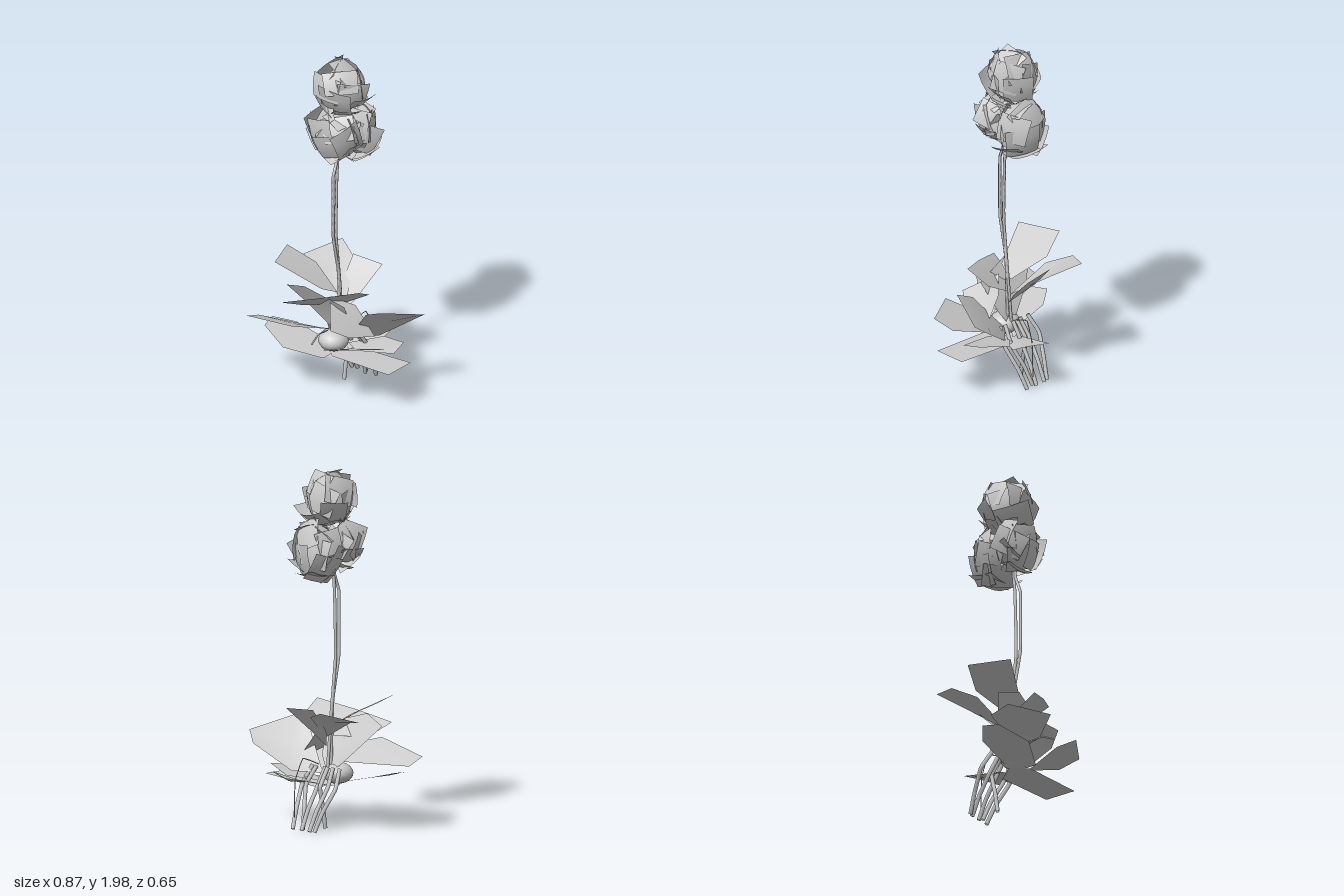
import * as THREE from 'three';

const solid = new THREE.MeshStandardMaterial({ color: 0xcccccc });
const thin = new THREE.MeshStandardMaterial({ color: 0xcccccc, side: THREE.DoubleSide });
const vec = (p) => new THREE.Vector3(...p);

// Small seeded generator for the petal scatter
function seeded(seed) {
  return () => {
    seed = (seed * 1664525 + 1013904223) % 4294967296;
    return seed / 4294967296;
  };
}

function add(parent, name, geometry, material) {
  const mesh = new THREE.Mesh(geometry, material);
  mesh.name = name;
  parent.add(mesh);
  return mesh;
}

// Leaf blade: a fan around the middle of its outline
function leaf(parent, ...outline) {
  const n = outline.length;
  const mid = [0, 1, 2].map((k) => outline.reduce((s, p) => s + p[k], 0) / n);
  const index = [];
  for (let i = 0; i < n; i++) index.push(0, i + 1, ((i + 1) % n) + 1);
  const g = new THREE.BufferGeometry();
  g.setAttribute('position', new THREE.Float32BufferAttribute([mid, ...outline].flat(), 3));
  g.setIndex(index);
  g.computeVertexNormals();
  add(parent, 'leaf', g, thin);
}

// Stems, roots and tendrils follow a path with nearly straight runs
function strand(parent, name, radius, sides, ...points) {
  const curve = new THREE.CatmullRomCurve3(points.map(vec), false, 'catmullrom', 0.15);
  add(parent, name, new THREE.TubeGeometry(curve, 24, radius, sides), thin);
}

// Flower head: broad square petals wrapped loosely around an ellipsoid
function flowerHead(parent, center, radii, count, size, seed) {
  const rnd = seeded(seed);
  const head = new THREE.Group();
  head.name = 'flowerHead';
  head.position.set(...center);
  for (let i = 0; i < count; i++) {
    const y = 1 - (2 * (i + 0.5)) / count;
    const a = i * 2.39996;
    const s = Math.sqrt(1 - y * y);
    const dir = new THREE.Vector3(Math.cos(a) * s, y, Math.sin(a) * s);
    const w = size * (0.85 + 0.35 * rnd());
    const h = size * (0.75 + 0.35 * rnd());
    const g = new THREE.PlaneGeometry(w, h, 3, 3);
    const p = g.attributes.position;
    for (let j = 0; j < p.count; j++) {
      const px = p.getX(j), py = p.getY(j);
      p.setX(j, px * (1 + 0.6 * py));
      p.setZ(j, -1.4 * (px * px + py * py));
    }
    g.computeVertexNormals();
    const petal = add(head, 'petal', g, thin);
    petal.position.copy(dir).multiply(vec(radii)).multiplyScalar(0.9 + 0.15 * rnd());
    // face along the ellipsoid's own normal
    petal.lookAt(petal.position.clone().add(dir.divide(vec(radii))));
    petal.rotateX((rnd() - 0.5) * 0.5);
    petal.rotateY((rnd() - 0.5) * 0.5);
    petal.rotateZ((rnd() - 0.5) * 1.0);
  }
  parent.add(head);
}

export function createModel() {
  const plant = new THREE.Group();
  plant.name = 'floweringPlant';

  // Flower spike: one upper head over two wide lower heads
  flowerHead(plant, [-0.015, 1.81, -0.02], [0.125, 0.14, 0.13], 18, 0.165, 5);
  flowerHead(plant, [-0.01, 1.57, 0.05], [0.145, 0.125, 0.09], 16, 0.165, 21);
  flowerHead(plant, [-0.005, 1.535, -0.1], [0.135, 0.15, 0.1], 16, 0.165, 43);

  // Twin stems
  strand(plant, 'stem', 0.009, 5, [-0.01, 0.28, 0], [-0.01, 0.7, 0.015], [-0.01, 0.95, 0.062],
    [-0.01, 1.31, 0.062], [-0.01, 1.38, 0.03], [-0.01, 1.5, 0.02]);
  strand(plant, 'stem', 0.009, 5, [-0.012, 0.28, -0.03], [-0.01, 0.65, 0.005], [-0.012, 0.95, 0.035],
    [-0.012, 1.3, 0.027], [-0.012, 1.5, 0.01]);

  // Bulb
  const bulb = add(plant, 'bulb', new THREE.SphereGeometry(0.085, 16, 10), solid);
  bulb.scale.y = 0.7;
  bulb.position.set(-0.025, 0.3, 0.04);

  // Leaves
  const leaves = new THREE.Group();
  leaves.name = 'leaves';
  plant.add(leaves);
  // upper tier
  leaf(leaves, [-0.38, 0.64, -0.13], [-0.26, 0.7, -0.32], [-0.1, 0.65, -0.24], [0, 0.5, -0.03], [-0.24, 0.62, -0.06]);
  leaf(leaves, [-0.395, 0.74, -0.01], [-0.3, 0.75, 0.21], [-0.06, 0.62, 0.1], [-0.03, 0.57, 0], [-0.24, 0.66, -0.07]);
  leaf(leaves, [-0.19, 0.57, 0.29], [0, 0.625, 0.21], [0.2, 0.68, 0.1], [0.17, 0.61, -0.03], [0, 0.51, 0], [-0.16, 0.5, 0.13]);
  leaf(leaves, [-0.11, 0.69, -0.23], [0.08, 0.68, -0.25], [0.04, 0.54, -0.1], [0, 0.45, -0.02], [-0.1, 0.56, -0.12]);
  // upright blade at the centre
  leaf(leaves, [-0.29, 0.58, 0.12], [-0.14, 0.63, 0.15], [0.1, 0.56, 0.1], [0.06, 0.4, 0], [0, 0.31, -0.02], [-0.08, 0.35, 0], [-0.2, 0.47, 0.05]);
  // right side
  leaf(leaves, [0.43, 0.51, -0.19], [0.35, 0.45, -0.24], [0.15, 0.31, -0.14], [0.03, 0.3, -0.02], [0.21, 0.53, 0.05], [0.32, 0.58, 0.06]);
  leaf(leaves, [0.145, 0.4, 0.325], [0.39, 0.42, 0.165], [0.35, 0.37, 0.06], [0.1, 0.28, 0.03], [0.07, 0.35, 0.25]);
  leaf(leaves, [0.42, 0.255, -0.08], [0.42, 0.255, 0.11], [0.02, 0.24, 0.11], [-0.06, 0.24, 0.02], [0.02, 0.23, -0.08]);
  leaf(leaves, [-0.02, 0.58, 0.08], [0.11, 0.47, 0.23], [0.17, 0.41, 0.14], [0.2, 0.36, -0.04], [0.08, 0.52, -0.02]);
  // left side
  leaf(leaves, [-0.44, 0.37, 0.18], [-0.43, 0.41, 0.29], [-0.08, 0.47, 0.32], [0.06, 0.43, 0.14], [0, 0.36, 0.04]);
  leaf(leaves, [-0.41, 0.34, 0.1], [-0.385, 0.33, 0.195], [-0.2, 0.28, 0.26], [0, 0.24, 0.16], [0, 0.24, 0], [-0.3, 0.31, 0.02]);
  // back
  leaf(leaves, [0, 0.31, -0.33], [0.15, 0.33, -0.3], [0.13, 0.26, -0.18], [0.04, 0.24, -0.02], [-0.04, 0.24, -0.04]);
  leaf(leaves, [0.35, 0.31, -0.02], [0.33, 0.33, -0.13], [0.15, 0.29, -0.18], [0.01, 0.26, -0.04], [0.12, 0.27, 0.02]);

  // Roots: [x, z] under the crown, then [x, z] at the ground
  const roots = [
    [-0.15, -0.1, -0.1, -0.21], [-0.08, -0.09, -0.07, -0.22], [-0.04, -0.11, -0.04, -0.07],
    [-0.01, -0.1, -0.01, -0.22], [0.07, -0.11, 0, -0.2], [0.11, -0.1, 0.06, -0.22],
  ];
  for (const [x0, z0, x1, z1] of roots) {
    strand(plant, 'root', 0.012, 5, [x0 * 0.8, 0.34, z0 * 0.4], [x0, 0.24, z0],
      [x0 * 0.4 + x1 * 0.6, 0.12, z0 * 0.4 + z1 * 0.6], [x1, 0.01, z1]);
  }

  // Fine tendrils
  strand(plant, 'tendril', 0.005, 4, [-0.02, 0.38, 0.1], [0, 0.4, 0.2], [0.01, 0.37, 0.27]);
  strand(plant, 'tendril', 0.003, 4, [0, 0.36, -0.08], [0.02, 0.4, -0.18], [0.03, 0.28, -0.23], [0.03, 0.08, -0.235]);
  return plant;
}
